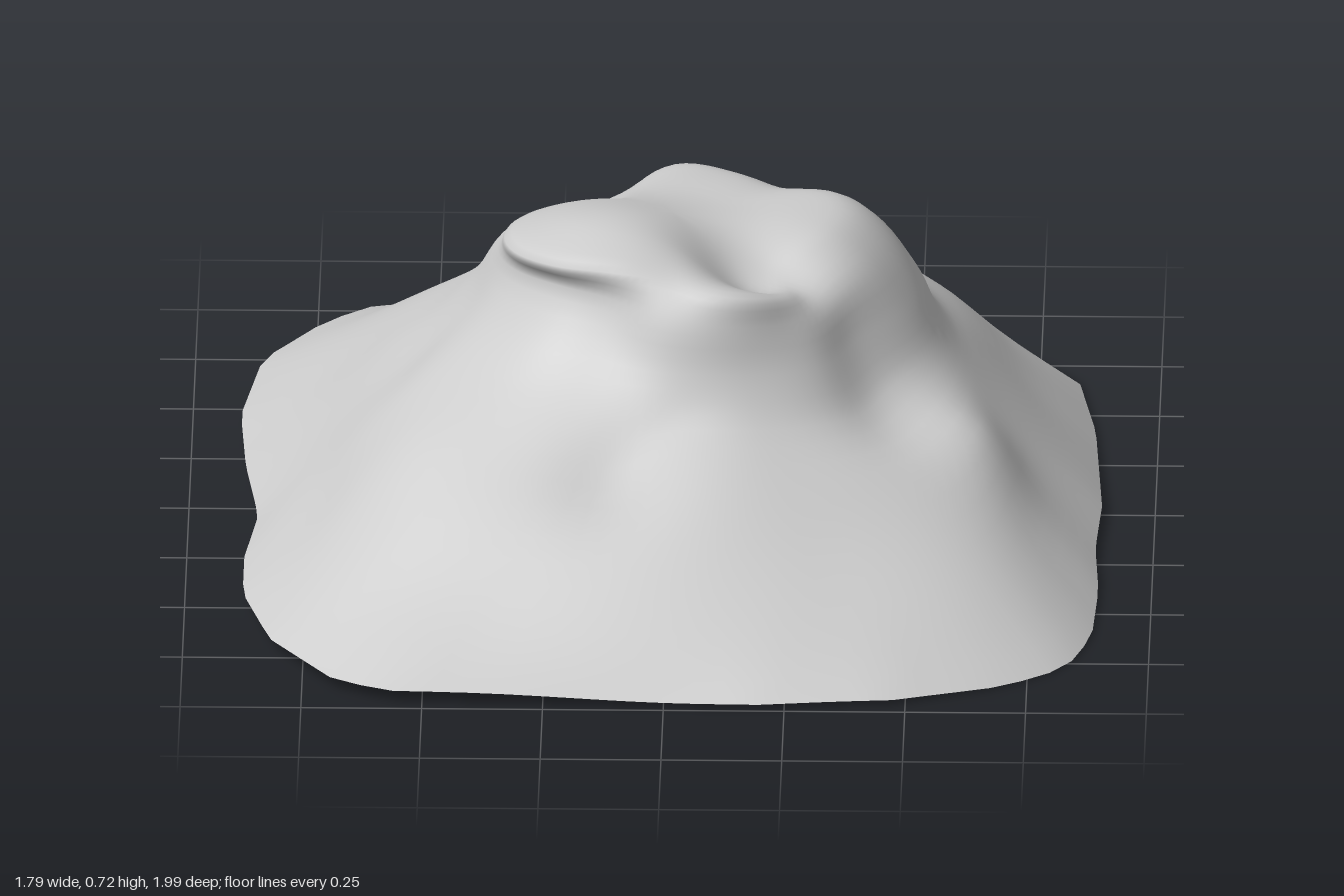
import * as THREE from 'three';

const SPOKES = 96, STEPS = 36;

// Footprint corners (x, z), ordered by angle from +x towards +z
const RIM = [
  [0.89, 0], [0.88, 0.2], [0.89, 0.4], [0.88, 0.62], [0.83, 0.77], [0.7, 0.87], [0.47, 0.96], [0.2, 0.99],
  [-0.56, 0.97], [-0.68, 0.92], [-0.82, 0.71], [-0.88, 0.48], [-0.88, 0.3], [-0.855, 0.1], [-0.885, -0.15],
  [-0.9, -0.42], [-0.86, -0.7], [-0.74, -0.88], [-0.65, -0.96], [0.32, -1], [0.45, -0.97], [0.6, -0.89],
  [0.83, -0.66], [0.87, -0.4],
];

// Rim height every 22.5 degrees from +x towards +z
const RIM_HEIGHTS = [
  0.025, 0.015, 0.005, 0.015, 0.015, 0.03, 0.03, 0.03, 0.035, 0.03, 0.03, 0.035, 0.03, 0.03, 0.015, 0.015,
];

// Contours: height, then radius at the same angles
const CONTOURS = [
  [0.15, [0.76, 0.80, 0.91, 0.86, 0.84, 0.87, 0.93, 0.80, 0.75, 0.80, 0.92, 0.86, 0.85, 0.93, 0.91, 0.80]],
  [0.28, [0.64, 0.68, 0.67, 0.66, 0.66, 0.68, 0.74, 0.68, 0.62, 0.65, 0.72, 0.70, 0.72, 0.80, 0.77, 0.68]],
  [0.38, [0.55, 0.49, 0.50, 0.48, 0.46, 0.51, 0.57, 0.56, 0.50, 0.53, 0.57, 0.56, 0.55, 0.63, 0.62, 0.59]],
  [0.48, [0.49, 0.42, 0.43, 0.41, 0.39, 0.37, 0.40, 0.41, 0.41, 0.44, 0.45, 0.45, 0.42, 0.46, 0.48, 0.54]],
  [0.58, [0.42, 0.37, 0.38, 0.38, 0.35, 0.31, 0.32, 0.34, 0.36, 0.37, 0.33, 0.36, 0.38, 0.40, 0.40, 0.47]],
  [0.64, [0.34, 0.27, 0.34, 0.36, 0.30, 0.31, 0.345, 0.36, 0.335, 0.27, 0.20, 0.26, 0.35, 0.33, 0.31, 0.39]],
];

// Mounds and hollows: x, z, height change, spread
const BUMPS = [
  [-0.12, 0.13, 0.06, 0.15], [0.17, 0.15, -0.09, 0.085], [0.05, -0.1, -0.01, 0.1],
  [-0.15, -0.25, -0.025, 0.09], [0.34, -0.2, 0.015, 0.08], [0.66, 0.25, 0.025, 0.08],
  [0.43, 0.28, -0.02, 0.08], [-0.12, 0.56, -0.03, 0.07], [0.1, 0.52, 0.02, 0.1],
  [-0.53, 0.4, 0.015, 0.08], [0.36, -0.66, 0.015, 0.08],
];

// Radius of the footprint along a direction
function rimRadius(a) {
  const dx = Math.cos(a), dz = Math.sin(a);
  for (let i = 0; i < RIM.length; i++) {
    const [x, z] = RIM[i], [x2, z2] = RIM[(i + 1) % RIM.length];
    const from = x * dz - z * dx, to = x2 * dz - z2 * dx;
    if (from >= 0 && to < 0 && x * dx + z * dz > 0) {
      const t = from / (from - to);
      return Math.hypot(x + (x2 - x) * t, z + (z2 - z) * t);
    }
  }
  return 0.89;
}

// Smooth closed interpolation of a contour
function around(values, u) {
  const n = values.length, i = Math.floor(u), t = u - i;
  const [a, b, c, d] = [-1, 0, 1, 2].map((k) => values[(i + k + n) % n]);
  return b + 0.5 * t * (c - a + t * (2 * a - 5 * b + 4 * c - d + t * (3 * (b - c) + d - a)));
}

function bump(x, z) {
  let y = 0;
  for (const [bx, bz, h, s] of BUMPS) y += h * Math.exp(-((x - bx) ** 2 + (z - bz) ** 2) / (2 * s * s));
  return y;
}

// One spoke of the slope, from the rim up to the middle of the summit
function spoke(a, u) {
  const at = (r, y) => new THREE.Vector3(r * Math.cos(a), y, r * Math.sin(a));
  const points = [at(rimRadius(a), around(RIM_HEIGHTS, u))];
  for (const [y, radii] of CONTOURS) points.push(at(around(radii, u), y));
  const top = around(CONTOURS[5][1], u);
  points.push(at(top * 0.75, 0.66), at(top * 0.4, 0.665), at(0, 0.665));
  return new THREE.CatmullRomCurve3(points, false, 'centripetal');
}

function slopeGeometry() {
  const positions = [], index = [];
  for (let i = 0; i < SPOKES; i++) {
    const curve = spoke((i / SPOKES) * Math.PI * 2, (i / SPOKES) * 16);
    for (let j = 0; j < STEPS; j++) {
      const p = curve.getPoint(j / STEPS);
      // The rim keeps its height
      p.y += bump(p.x, p.z) * Math.min(1, j / 5);
      positions.push(p.x, p.y, p.z);
    }
  }
  const centre = SPOKES * STEPS;
  positions.push(0, 0.665 + bump(0, 0), 0);
  for (let i = 0; i < SPOKES; i++) {
    const a = i * STEPS, b = ((i + 1) % SPOKES) * STEPS;
    for (let j = 0; j < STEPS - 1; j++) {
      index.push(a + j, a + j + 1, b + j, b + j, a + j + 1, b + j + 1);
    }
    index.push(a + STEPS - 1, centre, b + STEPS - 1);
  }
  const geometry = new THREE.BufferGeometry();
  geometry.setAttribute('position', new THREE.Float32BufferAttribute(positions, 3));
  geometry.setIndex(index);
  geometry.computeVertexNormals();
  return geometry;
}

export function createModel() {
  const rock = new THREE.MeshStandardMaterial({ color: 0xcccccc, side: THREE.DoubleSide });
  rock.name = 'rockGrey';
  const group = new THREE.Group();
  group.name = 'mountain';
  // Open rock shell with a craggy summit
  const shell = new THREE.Mesh(slopeGeometry(), rock);
  shell.name = 'mountainShell';
  group.add(shell);
  return group;
}
